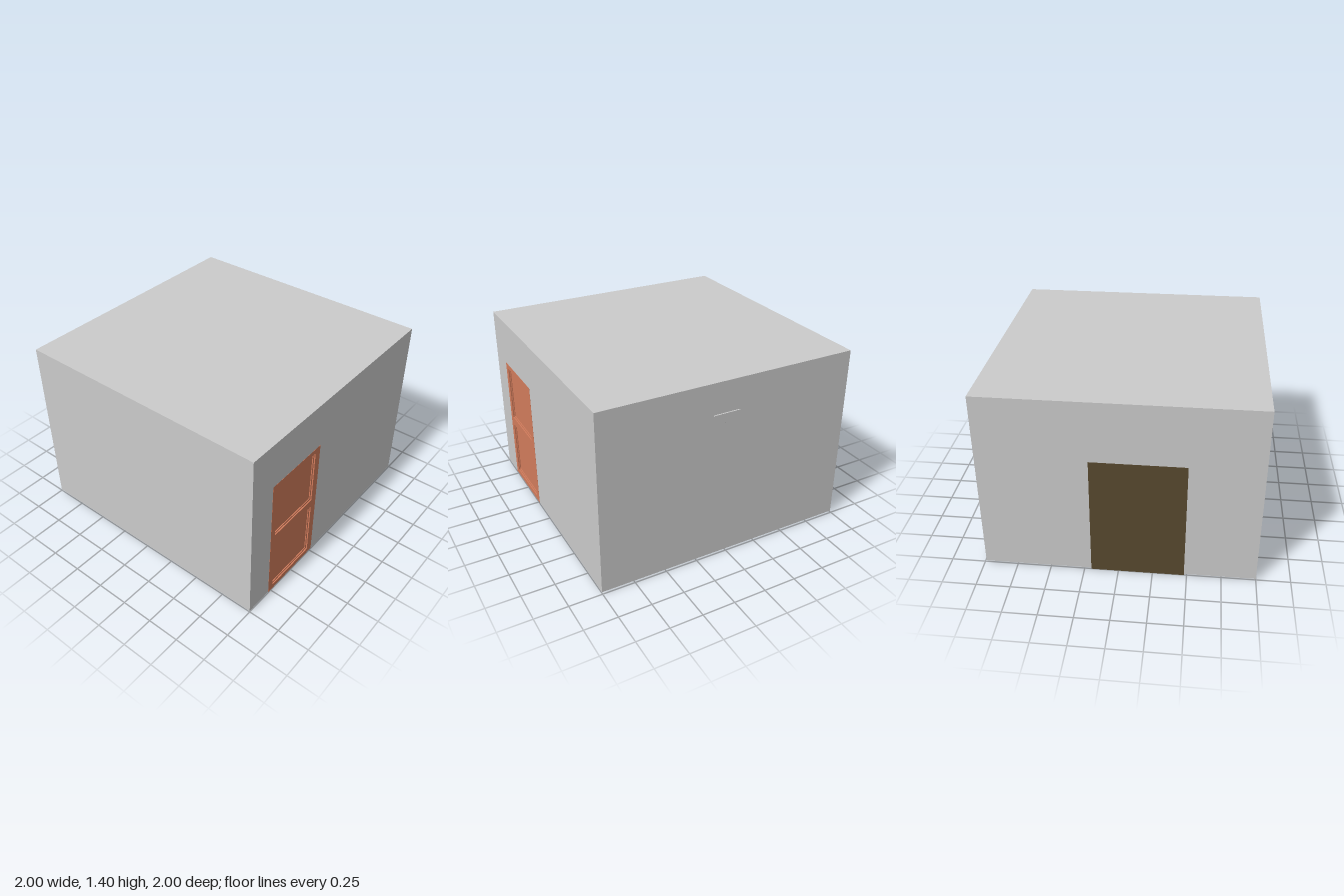
import * as THREE from 'three';

const grey = new THREE.MeshStandardMaterial({ color: 0xcccccc });
const orange = new THREE.MeshStandardMaterial({ color: 0xd27c5c });
const brown = new THREE.MeshStandardMaterial({ color: 0x58492f });

// Box given by its lower and upper corners
function block(name, [x0, y0, z0], [x1, y1, z1], material) {
  const mesh = new THREE.Mesh(new THREE.BoxGeometry(x1 - x0, y1 - y0, z1 - z0), material);
  mesh.position.set((x0 + x1) / 2, (y0 + y1) / 2, (z0 + z1) / 2);
  mesh.name = name;
  return mesh;
}

// Rectangles are [z0, y0, z1, y1] on the right wall
function trace(path, [z0, y0, z1, y1]) {
  path.moveTo(-z1, y0);
  path.lineTo(-z0, y0);
  path.lineTo(-z0, y1);
  path.lineTo(-z1, y1);
  path.closePath();
  return path;
}

// Slab facing +x with rectangular holes, its outer face at faceX
function slab(name, rect, holes, faceX, depth, material) {
  const shape = trace(new THREE.Shape(), rect);
  holes.forEach((hole) => shape.holes.push(trace(new THREE.Path(), hole)));
  const mesh = new THREE.Mesh(new THREE.ExtrudeGeometry(shape, { depth, bevelEnabled: false }), material);
  mesh.rotation.y = Math.PI / 2;
  mesh.position.x = faceX - depth;
  mesh.name = name;
  return mesh;
}

function makeRoom() {
  const room = new THREE.Group();
  room.name = 'room';
  const b = 0.01, t = 1.4, back = -0.99, w = 0.03;
  room.add(
    block('floor', [-1, b, back], [1 - w, b + w, 1], grey),
    block('ceiling', [-1, t - w, back], [1 - w, t, 1], grey),
    block('frontWall', [-1, b + w, 1 - w], [1 - w, t - w, 1], grey),
    block('backWall', [-1, b + w, back], [1 - w, t - w, back + w], grey),
    block('leftSideWall', [-1, b + w, back + w], [-1 + w, t - w, 1 - w], grey),
    slab('doorWall', [back, b, 1, t], [[0.23, b + 0.001, 0.78, 1.04]], 1, w, grey),
  );
  return room;
}

// Door with two stepped, sunken panels
function makeDoor() {
  const door = new THREE.Group();
  door.name = 'door';
  const panels = [[0.285, 0.045, 0.733, 0.492], [0.285, 0.56, 0.733, 1.002]];
  door.add(slab('doorFrame', [0.23, 0.007, 0.78, 1.04], panels, 1.001, 0.035, orange));
  for (const [z0, y0, z1, y1] of panels) {
    const inner = [z0 + 0.013, y0 + 0.013, z1 - 0.013, y1 - 0.013];
    door.add(slab('panelMoulding', [z0, y0, z1, y1], [inner], 0.992, 0.025, orange));
    door.add(slab('doorPanel', inner, [], 0.985, 0.02, orange));
  }
  return door;
}

// Chair standing at an angle, its feet reaching just below the floor
function makeChair() {
  const chair = new THREE.Group();
  chair.name = 'chair';
  for (const x of [-0.079, 0.079]) {
    for (const z of [-0.093, 0.093]) {
      chair.add(block('chairLeg', [x - 0.031, 0, z - 0.031], [x + 0.031, 0.3, z + 0.031], brown));
    }
  }
  chair.add(block('chairSeat', [-0.13, 0.3, -0.14], [0.13, 0.34, 0.14], brown));
  chair.add(block('chairBack', [0.09, 0.34, -0.14], [0.13, 0.68, 0.14], brown));
  chair.position.set(-0.186, 0, -0.455);
  chair.rotation.y = -0.545;
  return chair;
}

// Bracket whose rear edge shows through the back wall
function makeBracket() {
  const shape = new THREE.Shape();
  shape.moveTo(-0.04, 1.155);
  shape.lineTo(-0.03, 1.1);
  shape.quadraticCurveTo(-0.01, 1.085, 0.045, 1.083);
  shape.quadraticCurveTo(0.08, 1.12, 0.125, 1.155);
  shape.closePath();
  const bracket = new THREE.Group();
  bracket.name = 'wallBracket';
  const body = new THREE.Mesh(new THREE.ExtrudeGeometry(shape, { depth: 0.1, bevelEnabled: false }), grey);
  body.name = 'bracketBody';
  body.position.z = -0.997;
  bracket.add(body, block('bracketShelf', [-0.065, 1.155, -1], [0.138, 1.164, -0.85], grey));
  return bracket;
}

export function createModel() {
  const model = new THREE.Group();
  model.name = 'closedRoom';
  model.add(
    makeRoom(),
    makeDoor(),
    block('cabinet', [-1.002, 0, -0.2], [-0.74, 0.94, 0.48], brown),
    makeChair(),
    makeBracket(),
  );
  return model;
}
